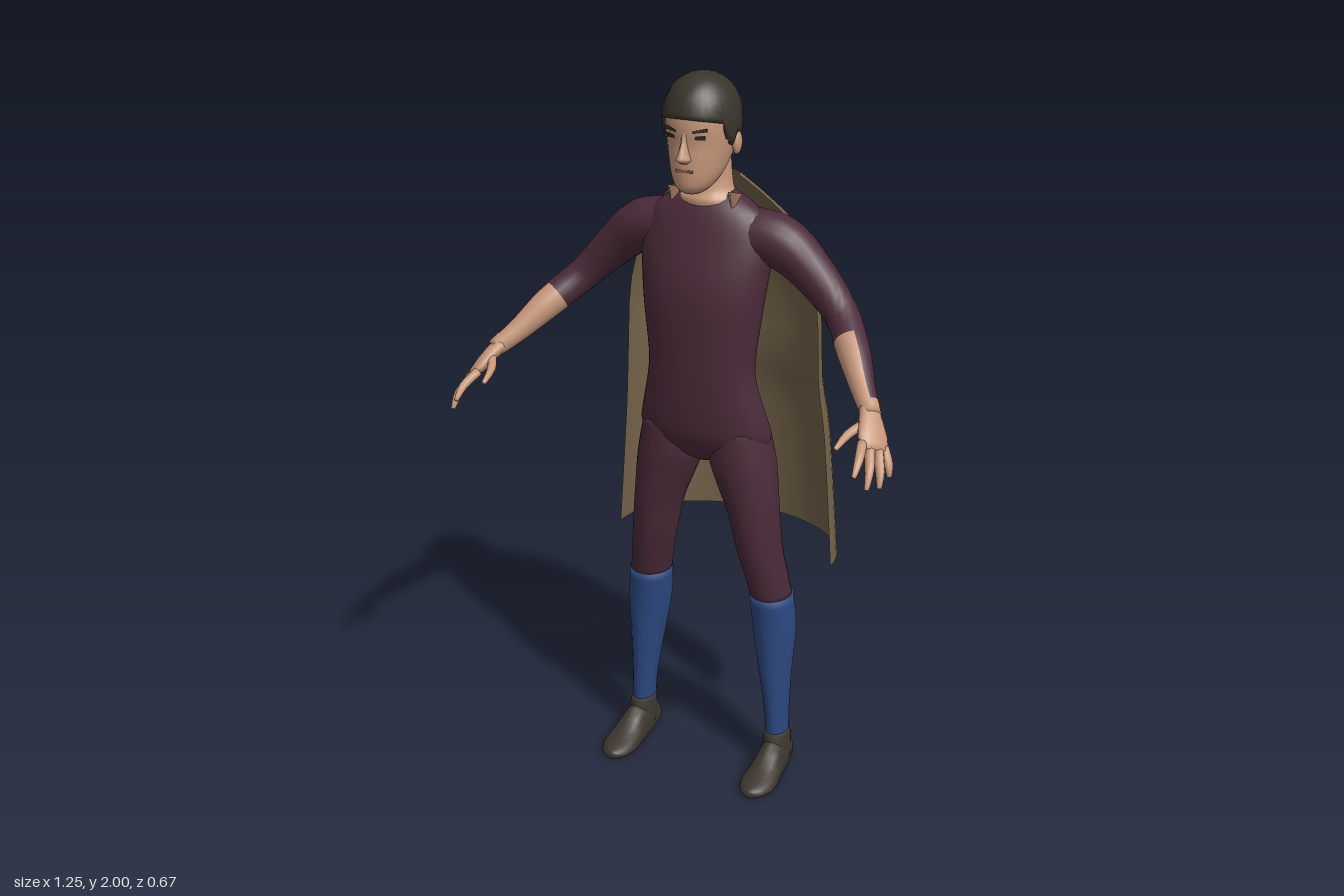
import * as THREE from 'three';

const paint = (name, color, extra = {}) => new THREE.MeshStandardMaterial({ name, color, ...extra });

// Catmull-Rom resampling of rows of numbers, k steps per span
function smooth(rows, k = 3) {
  const out = [];
  for (let i = 0; i < rows.length - 1; i++) {
    const a = rows[Math.max(i - 1, 0)], b = rows[i], c = rows[i + 1], d = rows[Math.min(i + 2, rows.length - 1)];
    for (let s = 0; s < k; s++) {
      const t = s / k;
      out.push(b.map((v, n) => v + 0.5 * t * (c[n] - a[n] + t * (2 * a[n] - 5 * v + 4 * c[n] - d[n] + t * (3 * (v - c[n]) + d[n] - a[n])))));
    }
  }
  out.push(rows[rows.length - 1]);
  return out;
}

// Closed skin over rings { c: centre, u, v: half axes }; pick(i, direction) chooses a material index
function loft(rings, n = 20, pick = () => 0) {
  const pos = [], faces = [[], []];
  for (const { c, u, v } of rings) {
    for (let j = 0; j < n; j++) {
      const a = (j / n) * Math.PI * 2;
      const p = c.clone().addScaledVector(u, Math.cos(a)).addScaledVector(v, Math.sin(a));
      pos.push(p.x, Math.max(p.y, 0), p.z);
    }
  }
  const last = rings.length - 1, base = last * n, end = (last + 1) * n;
  pos.push(...rings[0].c.toArray(), ...rings[last].c.toArray());
  for (let j = 0; j < n; j++) {
    const k = (j + 1) % n, a = ((j + 0.5) / n) * Math.PI * 2;
    for (let i = 0; i < last; i++) {
      const { u, v } = rings[i];
      const dir = u.clone().multiplyScalar(Math.cos(a)).addScaledVector(v, Math.sin(a)).normalize();
      const p = i * n + j, q = i * n + k;
      faces[pick(i, dir)].push(p, p + n, q, q, p + n, q + n);
    }
    faces[0].push(end, j, k);
    faces[pick(last, new THREE.Vector3())].push(end + 1, base + k, base + j);
  }
  const g = new THREE.BufferGeometry();
  g.setAttribute('position', new THREE.Float32BufferAttribute(pos, 3));
  g.setIndex([...faces[0], ...faces[1]]);
  g.addGroup(0, faces[0].length, 0);
  if (faces[1].length) g.addGroup(faces[0].length, faces[1].length, 1);
  g.computeVertexNormals();
  return g;
}

// Level rings, bottom to top: [y, centre x, half width, front z, back z]
const stack = (rows, n, k) => loft(smooth(rows, k).map(([y, x, r, f, b]) => ({
  c: new THREE.Vector3(x, y, (f + b) / 2),
  u: new THREE.Vector3(r, 0, 0),
  v: new THREE.Vector3(0, 0, (f - b) / 2),
})), n);

// Limb along a path: [x, y, z, radius, optional radius across]; wide sets the direction of the first radius
function limb(rows, n, k, pick, wide) {
  const s = smooth(rows, k), at = (i) => new THREE.Vector3(...s[Math.min(Math.max(i, 0), s.length - 1)].slice(0, 3));
  return loft(s.map((r, i) => {
    const w = at(i + 1).sub(at(i - 1)).normalize();
    const u = wide ? wide.clone() : new THREE.Vector3(0, 1, 0).cross(w);
    u.addScaledVector(w, -u.dot(w)).normalize();
    const v = u.clone().cross(w).multiplyScalar(r[4] ?? r[3]);
    return { c: at(i), u: u.multiplyScalar(r[3]), v };
  }), n, pick);
}

export function createModel() {
  const model = new THREE.Group();
  const suit = paint('maroon suit', 0x4b2b39), skin = paint('skin', 0xc6977a), hair = paint('dark hair', 0x39342b);
  const blue = paint('blue stocking', 0x2c4880), leather = paint('dark shoe', 0x3d362f);
  const cloth = paint('brown cape', 0x74634a, { side: THREE.DoubleSide });
  const dark = paint('eye dark', 0x2a211d), lip = paint('lip', 0x8a5a4a);
  const add = (name, geometry, material, parent = model) => {
    const m = new THREE.Mesh(geometry, material);
    m.name = name;
    parent.add(m);
    return m;
  };

  // Body
  add('torso', stack([
    [0.945, 0, 0.03, 0.0, -0.07], [0.97, 0, 0.14, 0.03, -0.11], [1.02, 0, 0.19, 0.062, -0.125],
    [1.08, 0, 0.183, 0.075, -0.115], [1.18, 0, 0.158, 0.082, -0.09], [1.25, 0, 0.153, 0.085, -0.09],
    [1.38, 0, 0.168, 0.088, -0.105], [1.47, 0, 0.178, 0.08, -0.12], [1.56, 0, 0.185, 0.055, -0.125],
    [1.63, 0, 0.165, 0.032, -0.115], [1.67, 0, 0.115, 0.012, -0.108], [1.695, 0, 0.065, -0.01, -0.1],
  ], 28), suit);
  add('neck', stack([
    [1.62, 0, 0.08, 0.0, -0.11], [1.67, 0, 0.085, 0.02, -0.108], [1.705, 0, 0.062, 0.004, -0.107], [1.8, 0, 0.055, 0.0, -0.1],
  ]), skin);

  // Head
  const head = new THREE.Group();
  head.name = 'head';
  model.add(head);
  add('face', stack([
    [1.705, 0, 0.022, 0.075, 0.02], [1.72, 0, 0.044, 0.094, -0.01], [1.75, 0, 0.064, 0.099, -0.05],
    [1.79, 0, 0.077, 0.1, -0.09], [1.83, 0, 0.086, 0.098, -0.11], [1.88, 0, 0.09, 0.102, -0.115],
    [1.93, 0, 0.08, 0.092, -0.1], [1.96, 0, 0.05, 0.06, -0.07],
  ], 24), skin, head);
  add('nose', stack([
    [1.786, 0, 0.01, 0.1, 0.08], [1.797, 0, 0.019, 0.125, 0.07], [1.812, 0, 0.014, 0.122, 0.07],
    [1.84, 0, 0.009, 0.109, 0.07], [1.87, 0, 0.01, 0.1, 0.08],
  ], 10), skin, head);
  const plate = (name, w, h, x, y, z, ry, rz, m) => {
    const p = add(name, new THREE.BoxGeometry(w, h, 0.008), m, head);
    p.position.set(x, y, z);
    p.rotation.set(0, ry, rz);
  };
  plate('mouth', 0.046, 0.007, 0, 1.768, 0.0965, 0, 0, lip);
  for (const s of [-1, 1]) {
    plate('eye', 0.027, 0.009, s * 0.039, 1.853, 0.0865, s * 0.32, 0, dark);
    plate('eyebrow', 0.038, 0.007, s * 0.039, 1.87, 0.089, s * 0.3, s * 0.15, hair);
    const ear = add('ear', new THREE.SphereGeometry(1, 12, 8), skin, head);
    ear.scale.set(0.012, 0.032, 0.02);
    ear.position.set(s * 0.09, 1.828, -0.02);
  }

  // Hair cap with a hairline that varies around the head
  const hairline = [[-1, 1.775], [-0.5, 1.785], [-0.22, 1.85], [0.05, 1.86], [0.15, 1.825], [0.32, 1.835], [0.45, 1.885], [1.01, 1.9]];
  const edge = (s) => {
    const i = Math.max(1, hairline.findIndex((h) => h[0] > s)), [a, b] = [hairline[i - 1], hairline[i]];
    return a[1] + (b[1] - a[1]) * (s - a[0]) / (b[0] - a[0]);
  };
  const cap = new THREE.SphereGeometry(1, 36, 14), cp = cap.attributes.position, uv = cap.attributes.uv;
  for (let i = 0; i < cp.count; i++) {
    const row = Math.floor(i / 37), a = (i % 37) / 36 * Math.PI * 2;
    const low = edge(Math.sin(a)), t = Math.min(row / 13, 1);
    const y = 2 - (2 - low) * (1 - Math.cos(t * Math.PI / 2));
    let r = y > 1.88 ? Math.sqrt(Math.max(0, 1 - ((y - 1.88) / 0.12) ** 2)) : 1 - 0.2 * ((1.88 - y) / 0.1) ** 2;
    r = Math.pow(r, 0.9) * (1 + 0.012 * Math.sin(a * 7 + row));
    if (row === 14) r *= 0.8;
    const z = Math.sin(a);
    cp.setXYZ(i, -Math.cos(a) * r * 0.1, y, -0.006 + z * r * (z > 0 ? 0.116 : 0.122));
  }
  cap.computeVertexNormals();
  add('hair', cap, hair, head);

  // Cape: rows of [y, right edge x, left edge x, edge z, back z], bent into half ellipses
  const drape = smooth([
    [1.73, -0.07, 0.07, -0.075, -0.13], [1.66, -0.15, 0.15, -0.105, -0.175], [1.58, -0.21, 0.22, -0.115, -0.22],
    [1.4, -0.268, 0.28, -0.11, -0.28], [1.18, -0.28, 0.295, -0.105, -0.295], [1.02, -0.285, 0.32, -0.1, -0.325],
    [0.66, -0.302, 0.357, -0.08, -0.34],
  ]);
  const cape = new THREE.PlaneGeometry(1, 1, 32, drape.length - 1), kp = cape.attributes.position;
  for (let i = 0; i < kp.count; i++) {
    const [y, l, r, e, b] = drape[Math.floor(i / 33)], a = (i % 33) / 32 * Math.PI;
    kp.setXYZ(i, (l + r) / 2 + Math.cos(a) * (r - l) / 2, y, e + (b - e) * Math.pow(Math.sin(a), 0.9));
  }
  cape.computeVertexNormals();
  add('cape', cape, cloth);

  for (const s of [-1, 1]) {
    const side = s > 0 ? 'left' : 'right';
    const flip = (rows) => rows.map(([x, ...rest]) => [x * s, ...rest]);
    const flipRows = (rows) => rows.map(([y, x, ...rest]) => [y, x * s, ...rest]);

    // Legs
    add(side + 'Thigh', stack(flipRows([
      [0.545, 0.19, 0.058, 0.005, -0.125], [0.62, 0.177, 0.06, 0.02, -0.115], [0.7, 0.162, 0.064, 0.035, -0.105],
      [0.8, 0.146, 0.071, 0.045, -0.11], [0.9, 0.122, 0.087, 0.052, -0.118], [0.97, 0.106, 0.094, 0.055, -0.125], [1.06, 0.1, 0.08, 0.05, -0.11],
    ])), suit);
    add(side + 'Stocking', stack(flipRows([
      [0.1, 0.218, 0.032, -0.012, -0.1], [0.18, 0.215, 0.034, -0.01, -0.105], [0.3, 0.207, 0.045, -0.004, -0.118],
      [0.45, 0.198, 0.062, 0.0, -0.134], [0.552, 0.19, 0.061, 0.008, -0.128],
    ])), blue);
    add(side + 'Ankle', stack(flipRows([[0.03, 0.22, 0.04, 0.01, -0.11], [0.07, 0.22, 0.038, 0.005, -0.108], [0.115, 0.218, 0.035, -0.008, -0.104]])), leather);
    add(side + 'Shoe', limb(flip([
      [0.218, 0.035, -0.116, 0.012, 0.02], [0.218, 0.03, -0.1, 0.034, 0.045], [0.22, 0.03, -0.05, 0.04, 0.068],
      [0.222, 0.022, 0.0, 0.042, 0.07], [0.224, 0.016, 0.05, 0.049, 0.042], [0.224, 0.012, 0.1, 0.05, 0.028],
      [0.222, 0.012, 0.14, 0.034, 0.018], [0.222, 0.012, 0.156, 0.012, 0.01],
    ]), 18, 2, undefined, new THREE.Vector3(1, 0, 0)), leather);

    // Arm: the sleeve is cut back along the front of the forearm
    const front = new THREE.Vector3(-s * 0.6, -0.15, 0.75);
    add(side + 'Arm', limb(flip([
      [0.11, 1.585, -0.055, 0.07], [0.2, 1.57, -0.058, 0.07], [0.285, 1.505, -0.06, 0.058],
      [0.375, 1.415, -0.04, 0.046], [0.445, 1.345, 0.04, 0.043], [0.5, 1.28, 0.11, 0.032], [0.545, 1.235, 0.165, 0.025],
    ]), 20, 4, (i, d) => (i >= 22 || (i >= 15 && d.dot(front) > 0.05) ? 1 : 0)), [suit, skin]);

    // Hand
    const hand = new THREE.Group();
    hand.name = side + 'Hand';
    model.add(hand);
    const across = new THREE.Vector3(s * 0.045, -0.025, -0.055);
    add('palm', limb(flip([
      [0.53, 1.25, 0.145, 0.026, 0.022], [0.55, 1.222, 0.18, 0.035, 0.02], [0.566, 1.195, 0.208, 0.044, 0.018], [0.581, 1.172, 0.23, 0.038, 0.012],
    ]), 14, 2, undefined, across), skin, hand);
    const fingers = {
      indexFinger: [[0.552, 1.192, 0.243], [0.564, 1.168, 0.295], [0.566, 1.138, 0.33]],
      middleFinger: [[0.57, 1.178, 0.237], [0.588, 1.142, 0.283], [0.592, 1.102, 0.309]],
      ringFinger: [[0.586, 1.17, 0.22], [0.605, 1.13, 0.254], [0.611, 1.095, 0.272]],
      littleFinger: [[0.592, 1.17, 0.198], [0.613, 1.138, 0.218], [0.62, 1.11, 0.228]],
      thumb: [[0.542, 1.225, 0.185], [0.512, 1.205, 0.235], [0.502, 1.185, 0.29]],
    };
    for (const [name, p] of Object.entries(fingers)) {
      const rows = [[...p[0], 0.013], [...p[1], 0.0115], [...p[2], 0.006]];
      add(name, limb(flip(rows), 10, 3), skin, hand);
    }

    // Bare notch at the collar
    const notch = add(side + 'CollarNotch', new THREE.ConeGeometry(0.02, 0.055, 4), skin);
    notch.position.set(s * 0.086, 1.67, -0.01);
    notch.rotation.set(Math.PI - 0.3, 0, 0);
    notch.scale.z = 1.6;
  }
  return model;
}
